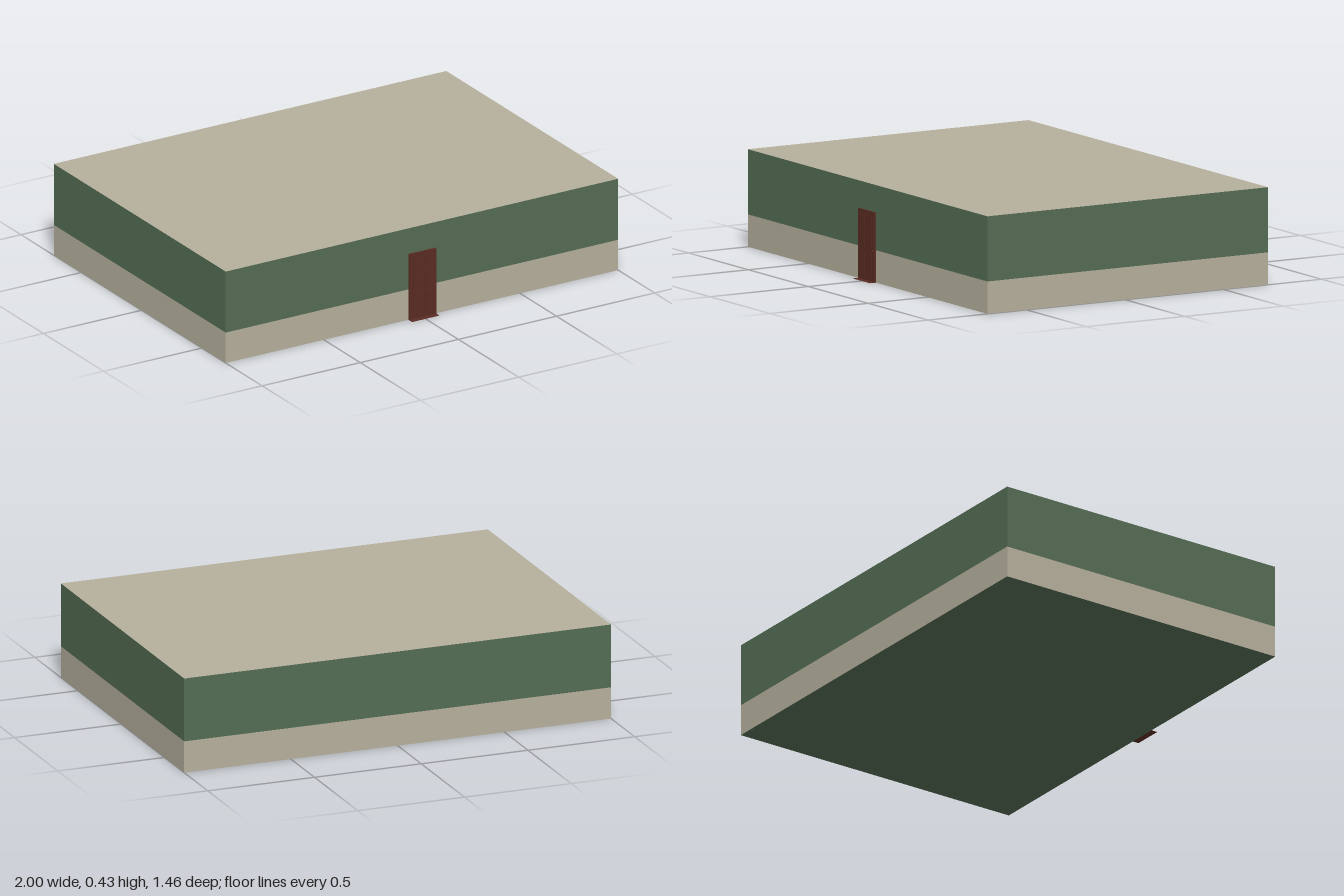
import * as THREE from 'three';

export function createModel() {
  const model = new THREE.Group();
  model.name = 'building';
  const paint = (name, color) => {
    const m = new THREE.MeshStandardMaterial({ color });
    m.name = name;
    return m;
  };
  const green = paint('green wall', 0x546d54);
  const beige = paint('beige plaster', 0xb6b09d);
  const brown = paint('red brown door', 0x5b2c24);

  // Box given by its lower and upper corners
  const block = (name, lo, hi, material) => {
    const size = hi.map((v, i) => v - lo[i]);
    const mesh = new THREE.Mesh(new THREE.BoxGeometry(...size), material);
    mesh.position.set(...lo.map((v, i) => v + size[i] / 2));
    mesh.name = name;
    model.add(mesh);
    return mesh;
  };

  // Walls: beige base with a green underside, green upper band with a beige roof
  const front = 0.698, back = -0.728, band = 0.143, top = 0.43;
  block('baseWall', [-1, 0, back], [1, band, front], [beige, beige, beige, green, beige, beige]);
  block('upperWall', [-1, band, back], [1, top, front], [green, green, beige, green, green, green]);

  // Door leaf and thin threshold
  const half = 0.069, face = 0.706;
  block('doorLeaf', [-half, 0, front], [half, 0.31, face], brown);
  block('threshold', [-half, 0, front], [half, 0.002, 0.728], brown);

  // Raised door panels in two columns
  const rows = [[0.035, 0.125], [0.15, 0.215], [0.24, 0.29]];
  for (const side of [-1, 1]) {
    for (const [y0, y1] of rows) {
      const x = side * 0.03;
      block('doorPanel', [x - 0.02, y0, face], [x + 0.02, y1, face + 0.003], brown);
    }
  }

  // Door knob
  const knob = new THREE.Mesh(new THREE.SphereGeometry(0.004, 12, 8), brown);
  knob.name = 'doorKnob';
  knob.position.set(0.059, 0.14, face + 0.003);
  model.add(knob);

  return model;
}
